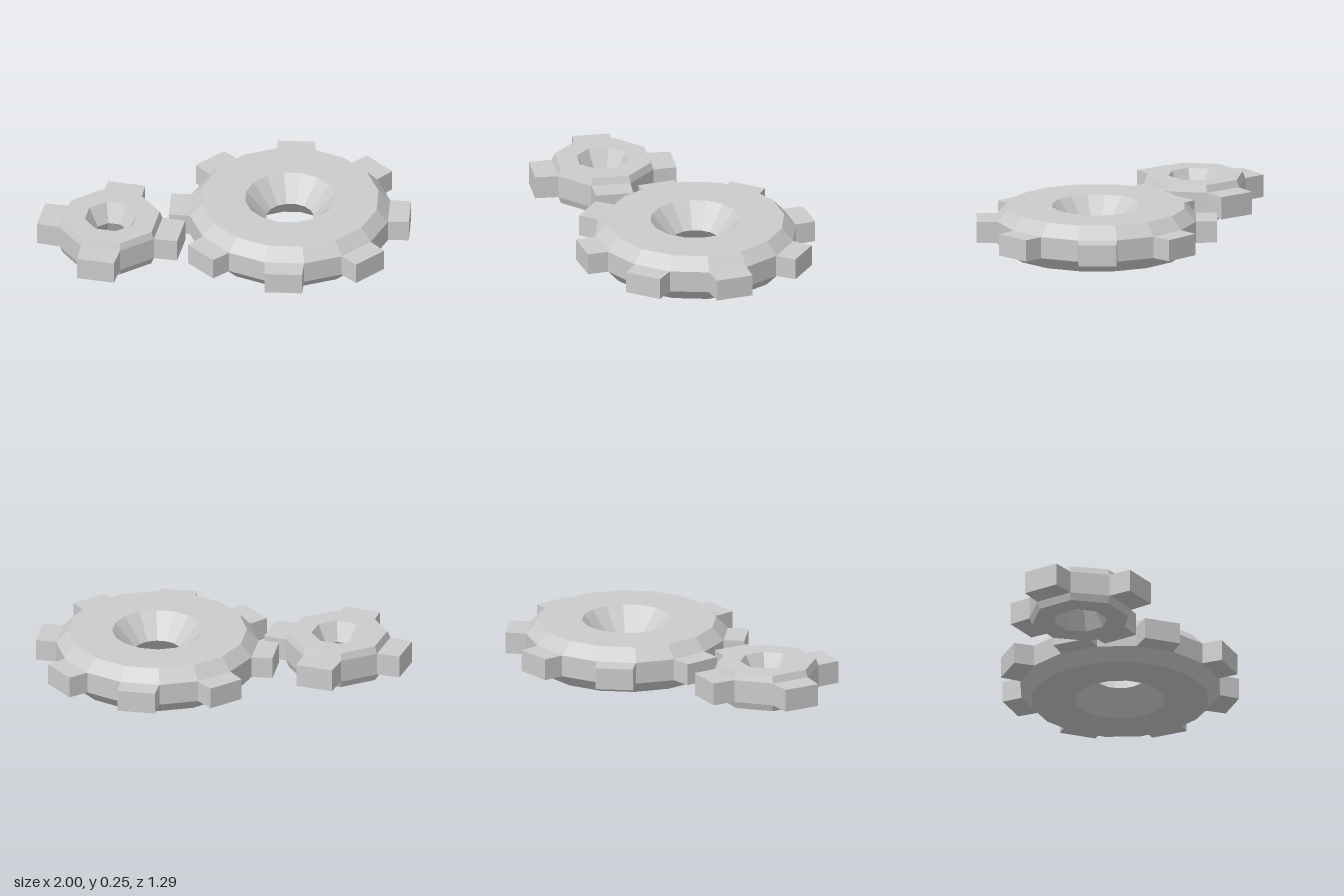
import * as THREE from 'three';

const material = new THREE.MeshStandardMaterial({ color: 0xcccccc, flatShading: true });
const MID = 0.125; // height of the shared middle plane

// Block tooth reaching from the wall to the tip, slightly narrower at the tip
function toothGeometry(inner, outer, baseWidth, tipWidth, height) {
  const geo = new THREE.BoxGeometry(outer - inner, height, 1);
  geo.translate((inner + outer) / 2, 0, 0);
  const pos = geo.attributes.position;
  const mid = (inner + outer) / 2;
  for (let i = 0; i < pos.count; i++) {
    pos.setZ(i, pos.getZ(i) * (pos.getX(i) > mid ? tipWidth : baseWidth));
  }
  geo.computeVertexNormals();
  return geo;
}

function createGear({ name, x, sides, phase, radius, faceRadius, tip, holeRadius, waistRadius, halfWall, halfHeight }) {
  const gear = new THREE.Group();
  gear.name = name;
  gear.position.set(x, MID, 0);

  // Bevelled ring with a hole that narrows to a waist
  const profile = [
    [waistRadius, 0], [holeRadius, -halfHeight], [faceRadius, -halfHeight], [radius, -halfWall],
    [radius, halfWall], [faceRadius, halfHeight], [holeRadius, halfHeight], [waistRadius, 0],
  ].map(([r, y]) => new THREE.Vector2(r, y));
  const body = new THREE.Mesh(
    new THREE.LatheGeometry(profile, sides, Math.PI / 2 - phase, Math.PI * 2), material);
  body.name = name + 'Body';
  gear.add(body);

  // One tooth on every second side of the body
  const step = (Math.PI * 2) / sides;
  const geo = toothGeometry(
    radius * Math.cos(step / 2), tip, 2 * radius * Math.sin(step / 2), 0.2, halfWall * 2);
  for (let i = 0; i < sides; i += 2) {
    const tooth = new THREE.Mesh(geo, material);
    tooth.name = name + 'Tooth';
    tooth.rotation.y = -(phase + (i + 0.5) * step);
    gear.add(tooth);
  }
  return gear;
}

export function createModel() {
  const model = new THREE.Group();
  model.name = 'gearPair';
  model.add(
    createGear({
      name: 'largeGear', x: 0.355, sides: 16, phase: THREE.MathUtils.degToRad(0.5),
      radius: 0.537, faceRadius: 0.475, tip: 0.638, holeRadius: 0.24, waistRadius: 0.127,
      halfWall: 0.058, halfHeight: 0.125,
    }),
    createGear({
      name: 'smallGear', x: -0.605, sides: 8, phase: THREE.MathUtils.degToRad(-1.3),
      radius: 0.277, faceRadius: 0.262, tip: 0.381, holeRadius: 0.142, waistRadius: 0.086,
      halfWall: 0.061, halfHeight: 0.099,
    }),
  );
  return model;
}
